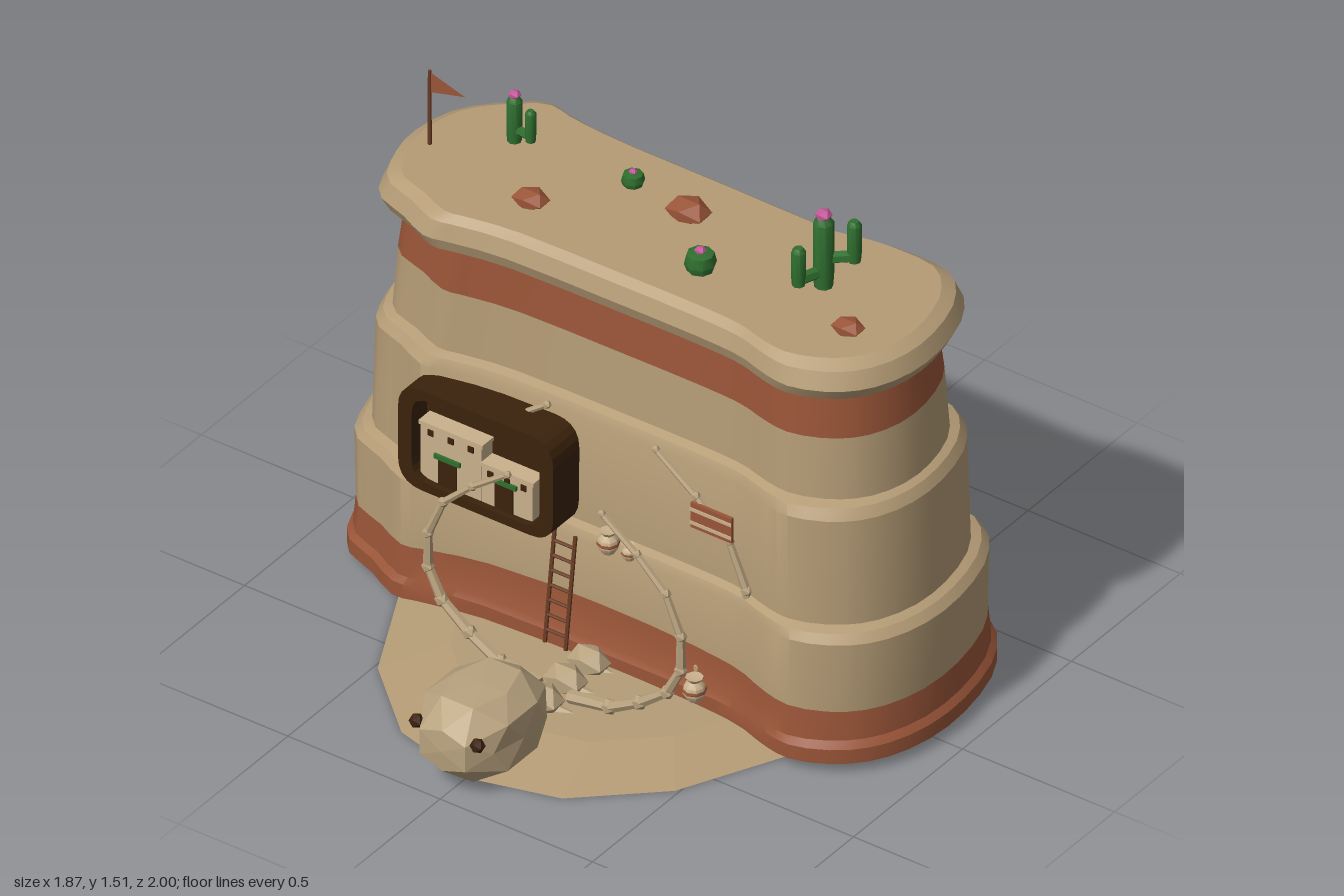
import * as THREE from 'three';
import { toCreasedNormals } from 'three/addons/utils/BufferGeometryUtils.js';

const mat = (name, color, extra = {}) => Object.assign(new THREE.MeshStandardMaterial({ color, ...extra }), { name });

export function createModel() {
  const sand = mat('sandstone', 0xb59c76), red = mat('red rock', 0x9a5538);
  const bone = mat('bone', 0xb8a27e), dark = mat('dark brown', 0x3b220c);
  const wood = mat('wood', 0x6b3d24), adobe = mat('adobe', 0xc9b18c);
  const green = mat('cactus green', 0x2f6e2f), pink = mat('flower pink', 0xc4579a);
  const ground = mat('ground sand', 0xb59c76, { side: THREE.DoubleSide });
  const cloth = mat('cloth', 0x9a5538, { side: THREE.DoubleSide });

  const root = new THREE.Group();
  const add = (name, geo, m, x = 0, y = 0, z = 0, parent = root) => {
    const mesh = new THREE.Mesh(geo, m);
    mesh.name = name;
    mesh.position.set(x, y, z);
    parent.add(mesh);
    return mesh;
  };
  const group = (name, x = 0, y = 0, z = 0) => {
    const g = new THREE.Group();
    g.name = name;
    g.position.set(x, y, z);
    root.add(g);
    return g;
  };
  const box = (w, h, d) => new THREE.BoxGeometry(w, h, d);
  const flat = (geo) => toCreasedNormals(geo, 0.01);
  const turned = (pts, n = 8) => toCreasedNormals(
    new THREE.LatheGeometry(pts.map(p => new THREE.Vector2(...p)), n), 0.9);
  // Tapered rod between two points
  const rod = (name, a, b, r1, r2, m, parent) => {
    const A = new THREE.Vector3(...a), B = new THREE.Vector3(...b), d = B.clone().sub(A);
    const c = A.clone().addScaledVector(d, 0.5);
    const mesh = add(name, flat(new THREE.CylinderGeometry(r2, r1, d.length(), 6)), m, c.x, c.y, c.z, parent);
    mesh.quaternion.setFromUnitVectors(new THREE.Vector3(0, 1, 0), d.normalize());
  };

  // Mesa: one outline lofted through stepped tiers
  const outline = [
    [-0.93, -0.05], [-0.89, -0.24], [-0.79, -0.37], [-0.69, -0.45], [-0.6, -0.43], [-0.44, -0.41], [0, -0.405],
    [0.35, -0.4], [0.44, -0.405], [0.52, -0.43], [0.64, -0.445], [0.79, -0.43], [0.88, -0.32], [0.93, -0.13],
    [0.93, 0.05], [0.88, 0.2], [0.8, 0.29], [0.68, 0.345], [0.59, 0.335], [0.48, 0.3], [0.35, 0.29], [0, 0.29],
    [-0.4, 0.3], [-0.55, 0.33], [-0.62, 0.345], [-0.735, 0.29], [-0.85, 0.24], [-0.91, 0.1],
  ];
  const N = 64;
  const loop = new THREE.CatmullRomCurve3(outline.map(([x, z]) => new THREE.Vector3(x, 0, z + 0.055)), true)
    .getPoints(N).slice(0, N);
  const loft = (levels, capBottom, capTop) => {
    const pos = [], idx = [];
    for (const [y, hx, hz, wave = 0] of levels) {
      for (const p of loop) {
        pos.push(p.x * hx / 0.93, y + wave * Math.cos(p.x * 3.5), p.z * hz / 0.395 - 0.055);
      }
    }
    const last = (levels.length - 1) * N, c0 = levels.length * N;
    pos.push(0, levels[0][0], -0.055, 0, levels.at(-1)[0], -0.055);
    for (let i = 0; i < N; i++) {
      const j = (i + 1) % N;
      for (let k = 0; k < last; k += N) idx.push(k + i, k + N + i, k + j, k + N + i, k + N + j, k + j);
      if (capBottom) idx.push(c0, i, j);
      if (capTop) idx.push(c0 + 1, last + j, last + i);
    }
    const g = new THREE.BufferGeometry();
    g.setAttribute('position', new THREE.Float32BufferAttribute(pos, 3));
    g.setIndex(idx);
    return toCreasedNormals(g, 0.45);
  };
  add('mesaFoot', loft([[0.035, 0.93, 0.395], [0.08, 0.93, 0.395], [0.1, 0.915, 0.383], [0.205, 0.908, 0.376, 0.018]], true), red);
  add('mesaTiers', loft([[0.205, 0.908, 0.376, 0.018], [0.405, 0.915, 0.372], [0.43, 0.895, 0.36], [0.44, 0.872, 0.335],
    [0.77, 0.862, 0.33], [0.8, 0.845, 0.315], [0.81, 0.825, 0.287], [1, 0.81, 0.28]]), sand);
  add('mesaRedBand', loft([[1, 0.81, 0.28], [1.15, 0.79, 0.27], [1.152, 0.835, 0.308]]), red);
  add('mesaCap', loft([[1.152, 0.835, 0.308], [1.19, 0.855, 0.325], [1.24, 0.835, 0.308], [1.26, 0.8, 0.28]], false, true), sand);

  // Ground mound, open underneath
  const mound = new THREE.LatheGeometry([[0.69, 0], [0.52, 0.036], [0.25, 0.044], [0, 0.045]]
    .map(p => new THREE.Vector2(...p)), 16);
  mound.scale(1, 1, 0.94 / 0.69);
  add('groundMound', flat(mound), ground, 0, 0, -0.06);

  // Skeleton: rib pairs, vertebrae and skull
  const ribPath = [[0.05, 0.055], [0.18, 0.075], [0.28, 0.13], [0.37, 0.2], [0.415, 0.29], [0.415, 0.4],
    [0.365, 0.52], [0.27, 0.61], [0.155, 0.695]];
  for (const [z, s] of [[0.475, 1], [0.26, 1.15], [-0.37, 1.15], [-0.575, 1]]) {
    const ribs = group('ribPair', 0, 0, z);
    for (const side of [-1, 1]) {
      for (let i = 0; i < ribPath.length - 1; i++) {
        const [a, b] = [ribPath[i], ribPath[i + 1]].map(([x, y]) => [side * x * s, 0.05 + (y - 0.05) * s, 0]);
        const r = 0.027 - i * 0.0019;
        rod('ribSegment', a, b, r * 0.72, r * 0.6, bone, ribs);
        add('ribJoint', flat(new THREE.IcosahedronGeometry(r * 0.9, 0)), bone, ...b, ribs);
      }
    }
  }
  for (let i = 0; i < 12; i++) {
    const v = group('vertebra', 0, 0.06, 0.53 - i * 0.106);
    add('vertebraBody', flat(new THREE.IcosahedronGeometry(1, 0)), bone, 0, 0, 0, v).scale.set(0.066, 0.05, 0.05);
    for (const side of [-1, 1]) rod('vertebraSpur', [0, -0.02, 0], [side * 0.1, -0.03, -0.02], 0.024, 0.006, bone, v);
  }
  const skull = new THREE.IcosahedronGeometry(1, 1);
  const sp = skull.attributes.position;
  for (let i = 0; i < sp.count; i++) {
    const q = [sp.getX(i), sp.getY(i), sp.getZ(i)];
    const k = Math.pow(q.reduce((t, v) => t + Math.abs(v) ** 4, 0), -0.25);
    const snout = q[2] > 0.5 ? 0.88 : 1;
    sp.setXYZ(i, q[0] * k * 0.142 * snout, q[1] * k * 0.124 * snout, q[2] * k * 0.185);
  }
  add('skull', flat(skull), bone, 0, 0.152, 0.812);
  for (const side of [-1, 1]) {
    add('eyeSocket', flat(new THREE.IcosahedronGeometry(0.022, 0)), dark, side * 0.1, 0.197, 0.968);
  }

  // Cliff dwelling: dark rounded alcove with two houses
  const rounded = (target, w, h, r) => {
    const x = w / 2, y = h / 2;
    target.moveTo(-x + r, -y).lineTo(x - r, -y).quadraticCurveTo(x, -y, x, -y + r).lineTo(x, y - r)
      .quadraticCurveTo(x, y, x - r, y).lineTo(-x + r, y).quadraticCurveTo(-x, y, -x, y - r)
      .lineTo(-x, -y + r).quadraticCurveTo(-x, -y, -x + r, -y);
    return target;
  };
  const alcove = group('cliffDwelling', -0.345, 0.587, 0);
  const frame = rounded(new THREE.Shape(), 0.51, 0.326, 0.08);
  frame.holes.push(rounded(new THREE.Path(), 0.42, 0.27, 0.06));
  add('alcoveFrame', new THREE.ExtrudeGeometry(frame, { depth: 0.13, bevelEnabled: false, curveSegments: 5 }), dark, 0, 0, 0.225, alcove);
  add('alcoveBack', box(0.45, 0.29, 0.02), dark, 0, 0, 0.275, alcove);
  for (const [x, w, h] of [[-0.095, 0.2, 0.18], [0.09, 0.165, 0.125]]) {
    const house = new THREE.Group();
    house.name = 'house';
    house.position.set(x, -0.137, 0.31);
    alcove.add(house);
    add('houseWalls', box(w, h, 0.05), adobe, 0, h / 2, 0, house);
    add('roofEdge', box(w + 0.01, 0.012, 0.056), adobe, 0, h, 0, house);
    add('doorway', box(0.06, 0.085, 0.006), dark, -0.01, 0.043, 0.026, house);
    add('greenLintel', box(0.085, 0.014, 0.009), green, -0.01, 0.092, 0.028, house);
    for (const t of [-0.33, 0, 0.33]) add('window', box(0.018, 0.018, 0.006), dark, t * w, h - 0.022, 0.026, house);
  }

  // Ladder
  const ladder = group('ladder', -0.08, 0, 0);
  for (const side of [-1, 1]) rod('ladderRail', [side * 0.034, 0.1, 0.36], [side * 0.034, 0.445, 0.315], 0.006, 0.006, wood, ladder);
  for (let i = 0; i < 7; i++) {
    const y = 0.14 + i * 0.045, z = 0.36 - (y - 0.1) * 0.13;
    rod('ladderRung', [-0.038, y, z], [0.038, y, z], 0.005, 0.005, wood, ladder);
  }

  // Pots with painted bands
  for (const [x, y, z, s] of [[0.055, 0.432, 0.305, 1], [0.12, 0.432, 0.3, 0.7], [0.37, 0.105, 0.35, 1.05]]) {
    const pot = group('pot', x, y, z);
    pot.scale.setScalar(s);
    add('potBody', turned([[0, 0], [0.018, 0], [0.031, 0.022], [0.028, 0.045], [0.016, 0.058], [0.024, 0.07], [0, 0.066]]), adobe, 0, 0, 0, pot);
    add('potBand', turned([[0.031, 0.027], [0.033, 0.031], [0.031, 0.037]]), red, 0, 0, 0, pot);
  }

  // Striped blanket on the cliff wall
  add('blanket', box(0.135, 0.08, 0.01), red, 0.372, 0.64, 0.272);
  for (const y of [0.617, 0.66]) add('blanketStripe', box(0.135, 0.01, 0.004), adobe, 0.372, y, 0.278);

  // Flag
  rod('flagPole', [-0.75, 1.25, 0], [-0.75, 1.5, 0], 0.006, 0.005, wood, root);
  const pennant = new THREE.Shape().moveTo(0, 0.035).lineTo(0, -0.03).lineTo(0.115, 0);
  add('flag', new THREE.ShapeGeometry(pennant), cloth, -0.748, 1.46, 0);

  // Cacti: columns with side arms, and small barrels
  const column = (parent, r, h, x, y, z) =>
    add('cactusStem', turned([[0, 0], [r * 0.9, 0], [r, h * 0.2], [r, h - r * 0.6], [r * 0.6, h], [0, h]]), green, x, y, z, parent);
  const flower = (parent, r, x, y, z) =>
    add('flower', flat(new THREE.IcosahedronGeometry(r, 0)), pink, x, y, z, parent).scale.y = 0.7;
  const cacti = [
    { at: [-0.575, -0.145], r: 0.022, h: 0.145, arms: [[0.06, 0.01, 0.03, 0.1]] },
    { at: [0.487, -0.08], r: 0.029, h: 0.225, arms: [[0.065, -0.05, 0.08, 0.13], [-0.025, 0.08, 0.04, 0.12]] },
  ];
  for (const { at, r, h, arms } of cacti) {
    const cactus = group('cactus', at[0], 1.258, at[1]);
    column(cactus, r, h, 0, 0, 0);
    flower(cactus, r * 0.85, 0, h + 0.008, 0);
    for (const [x, z, y, ah] of arms) {
      column(cactus, r * 0.7, ah, x, y, z);
      rod('cactusElbow', [0, y + 0.012, 0], [x, y + 0.016, z], r * 0.62, r * 0.62, green, cactus);
    }
  }
  for (const [x, z, r, h] of [[-0.2, -0.165, 0.033, 0.045], [0.175, 0.05, 0.045, 0.065]]) {
    const barrel = group('barrelCactus', x, 1.256, z);
    add('barrel', turned([[0, 0], [r * 0.8, 0], [r, h * 0.4], [r * 0.85, h * 0.85], [0, h]], 8), green, 0, 0, 0, barrel);
    flower(barrel, r * 0.38, 0, h, 0);
  }

  // Loose red rocks on the plateau
  for (const [x, z, w, h] of [[-0.375, 0.06, 0.056, 0.03], [0, -0.14, 0.068, 0.04], [0.66, 0.05, 0.05, 0.026]]) {
    add('rock', flat(new THREE.IcosahedronGeometry(1, 0)), red, x, 1.27, z).scale.set(w, h, w * 0.8);
  }
  return root;
}
